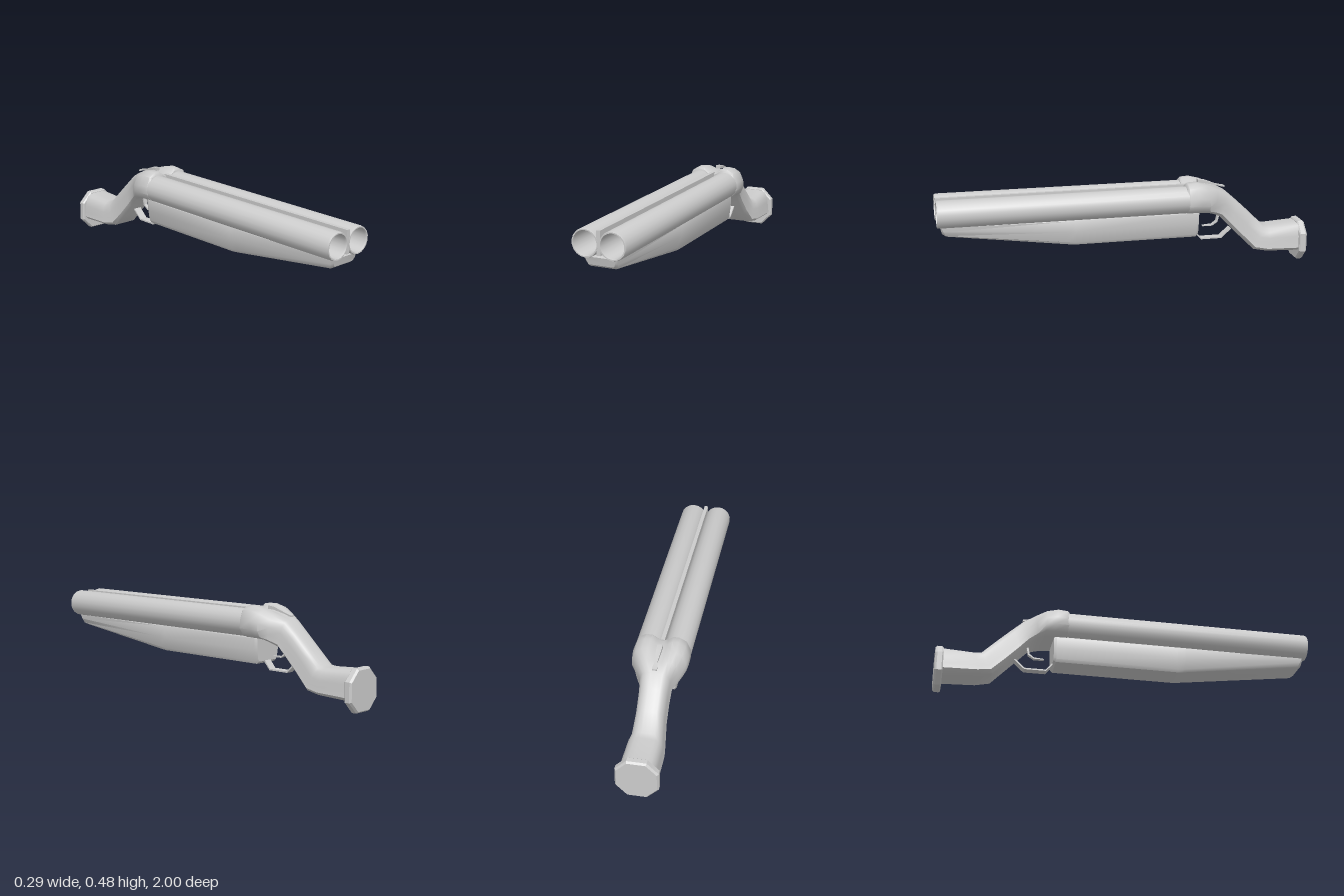
import * as THREE from 'three';
import { toCreasedNormals } from 'three/addons/utils/BufferGeometryUtils.js';

const material = new THREE.MeshStandardMaterial({ color: 0xcccccc });

// Half outlines, top centre to bottom centre: u = share of half width, v = 0 bottom .. 1 top
const LOBES = [[0, .82], [.2, .88], [.38, 1], [.6, .99], [.85, .87], [1, .55], [1, .3], [.85, .1], [.62, 0], [0, 0]];
const ROUND = [[0, 1], [.25, 1], [.5, .98], [.7, .92], [.86, .78], [.93, .55], [.96, .3], [1, .12], [.78, 0], [0, 0]];
const TROUGH = [[0, 1], [.92, 1], [1, .93], [.97, .5], [.88, .1], [.78, 0], [0, 0]];
const OCTAGON = [[0, 1], [.46, 1], [1, .73], [1, .27], [.46, 0], [0, 0]];
const RECT = [[0, 1], [1, 1], [1, 0], [0, 0]];

// Skins sections [topZ, topY, bottomZ, bottomY, halfWidth, blend] running from front to back
function loft(name, sections, shape, crease, blendShape = shape) {
  const rings = sections.map(([tz, ty, bz, by, w, blend = 0]) => {
    const half = shape.map(([u, v], i) => {
      const U = THREE.MathUtils.lerp(u, blendShape[i][0], blend);
      const V = THREE.MathUtils.lerp(v, blendShape[i][1], blend);
      return [U * w, by + (ty - by) * V, bz + (tz - bz) * V];
    });
    const mirrored = half.slice(1, -1).reverse().map(([x, y, z]) => [-x, y, z]);
    return [...half, ...mirrored];
  });
  const n = rings[0].length;
  const pos = [];
  const tri = (...p) => p.forEach((q) => pos.push(...q));
  const centre = ([tz, ty, bz, by]) => [0, (ty + by) / 2, (tz + bz) / 2];
  const last = rings.length - 1;
  for (let j = 0; j < n; j++) {
    const k = (j + 1) % n;
    for (let i = 0; i < last; i++) {
      const a = rings[i], b = rings[i + 1];
      tri(a[j], a[k], b[j]);
      tri(a[k], b[k], b[j]);
    }
    tri(centre(sections[0]), rings[0][k], rings[0][j]);
    tri(centre(sections[last]), rings[last][j], rings[last][k]);
  }
  const geometry = new THREE.BufferGeometry();
  geometry.setAttribute('position', new THREE.Float32BufferAttribute(pos, 3));
  const mesh = new THREE.Mesh(toCreasedNormals(geometry, crease), material);
  mesh.name = name;
  return mesh;
}

// Bent flat strip: path points [z, y, halfWidth, offsetZ, offsetY] give its outer line and thickness
const strip = (name, path) =>
  loft(name, path.map(([z, y, w, dz, dy]) => [z + dz, y + dy, z, y, w]), RECT, 0.3);

export function createModel() {
  const model = new THREE.Group();

  // Twin hollow barrels
  const profile = [[.072, -.35], [.072, .99], [.069, 1], [.063, 1], [.06, .99], [.06, -.3], [0, -.3]]
    .map(([r, y]) => new THREE.Vector2(r, y));
  const tube = toCreasedNormals(new THREE.LatheGeometry(profile, 18).rotateX(Math.PI / 2), 0.6);
  for (const side of [1, -1]) {
    const barrel = new THREE.Mesh(tube, material);
    barrel.name = side > 0 ? 'leftBarrel' : 'rightBarrel';
    barrel.position.set(side * .072, .383, 0);
    model.add(barrel);
  }

  // Sighting rib between the barrels
  const rib = new THREE.Mesh(new THREE.BoxGeometry(.02, .122, 1.33), material);
  rib.name = 'rib';
  rib.position.set(0, .391, .334);
  model.add(rib);

  // Wooden fore-end under the barrels
  model.add(loft('foreEnd', [
    [.985, .316, .975, .275, .078],
    [.98, .318, .955, .262, .087],
    [.32, .318, .32, .178, .09],
    [.28, .318, .28, .174, .09],
    [-.375, .318, -.375, .174, .09],
    [-.39, .316, -.388, .186, .084],
  ], TROUGH, 0.7));

  // Breech collar flowing into the bent grip
  model.add(loft('breechAndGrip', [
    [-.315, .463, -.315, .318, .136],
    [-.325, .473, -.322, .311, .143],
    [-.37, .476, -.40, .31, .144],
    [-.43, .463, -.44, .308, .14, .25],
    [-.49, .438, -.475, .296, .113, .7],
    [-.55, .408, -.515, .275, .082, 1],
    [-.61, .355, -.565, .222, .078, 1],
    [-.69, .28, -.635, .15, .078, 1],
    [-.765, .205, -.705, .08, .086, 1],
    [-.80, .2, -.78, .067, .095, 1],
    [-.965, .21, -.965, .06, .096, 1],
  ], LOBES, 0.8, ROUND));

  // Octagonal butt plate with softened edges
  model.add(loft('buttPlate', [
    [-.958, .212, -.958, .006, .102],
    [-.965, .218, -.965, 0, .108],
    [-.99, .218, -.99, 0, .108],
    [-1, .21, -1, .008, .1],
  ], OCTAGON, 0.5));

  // Opening lever on top of the breech
  model.add(strip('openingLever', [
    [-.40, .455, .014, 0, .018],
    [-.44, .452, .013, 0, .016],
    [-.50, .437, .007, 0, .008],
    [-.535, .428, .012, 0, .008],
    [-.55, .425, .012, 0, .008],
  ]));

  // Trigger guard and trigger
  model.add(strip('triggerGuard', [
    [-.385, .18, .022, -.004, .008],
    [-.42, .14, .022, -.002, .008],
    [-.535, .14, .022, .002, .008],
    [-.59, .19, .022, .005, .006],
  ]));
  model.add(strip('trigger', [
    [-.43, .21, .01, 0, .004],
    [-.485, .21, .01, .001, .008],
    [-.515, .23, .01, .008, .006],
    [-.53, .285, .01, .012, .003],
  ]));

  return model;
}
